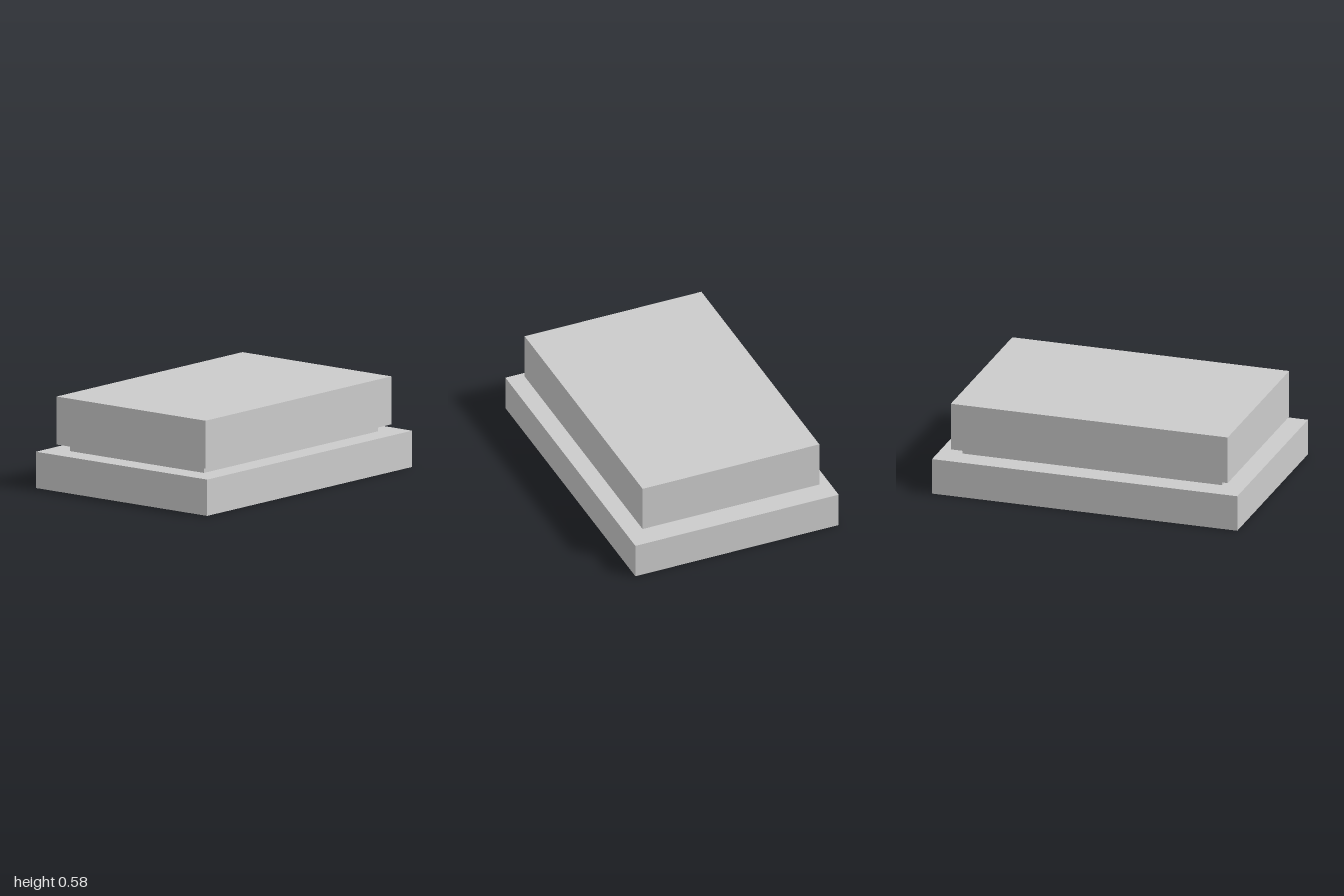
import * as THREE from 'three';

export function createModel() {
  const group = new THREE.Group();
  const material = new THREE.MeshStandardMaterial({ color: 0xcccccc, flatShading: true });

  // Centred slab between two heights
  function slab(name, width, depth, bottom, top) {
    const mesh = new THREE.Mesh(new THREE.BoxGeometry(width, top - bottom, depth), material);
    mesh.name = name;
    mesh.position.y = (bottom + top) / 2;
    group.add(mesh);
  }

  // Wide base, recessed neck and upper block
  slab('base', 1.38, 2, 0, 0.23);
  slab('neck', 1.08, 1.7, 0.23, 0.273);
  slab('upperBlock', 1.2, 1.814, 0.273, 0.577);

  return group;
}
